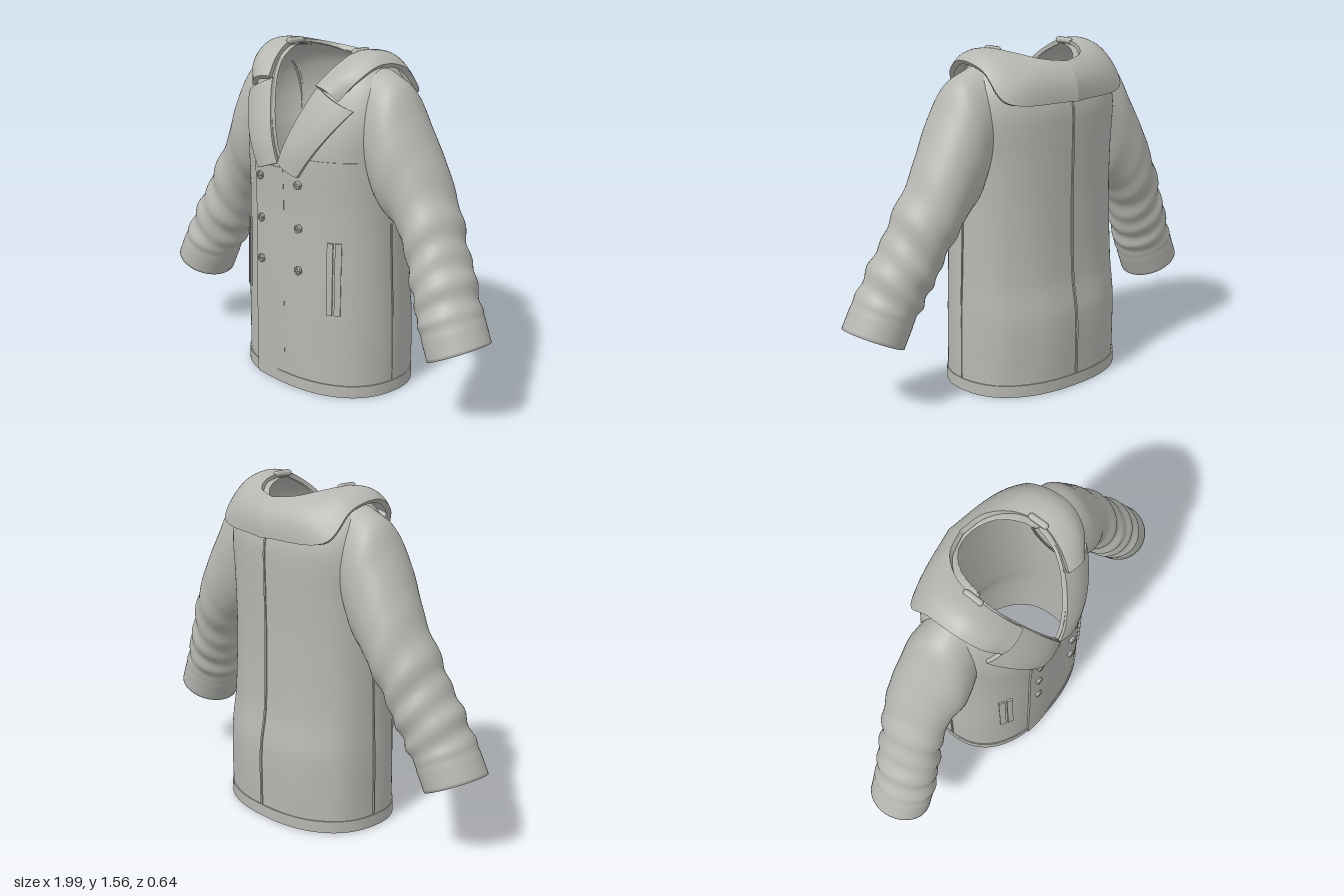
import * as THREE from 'three';
import { mergeVertices, toCreasedNormals } from 'three/addons/utils/BufferGeometryUtils.js';

const V = (x, y, z) => new THREE.Vector3(x, y, z);
const cloth = new THREE.MeshStandardMaterial({ color: 0xb6b6b2, side: THREE.DoubleSide });
cloth.name = 'greyCloth';

// Torso sections: height, half width, front z, back z
const SECTIONS = [
  [0, .425, .30, -.31], [.34, .422, .30, -.312], [.52, .415, .30, -.285], [.85, .405, .297, -.275],
  [1.1, .41, .30, -.278], [1.2, .42, .283, -.28], [1.3, .42, .25, -.277], [1.4, .395, .205, -.25],
  [1.47, .34, .155, -.217], [1.51, .27, .10, -.165], [1.54, .19, .05, -.09],
];
const POWER = 2.3;

// Smooth interpolation of the torso sections
function section(y) {
  const S = SECTIONS, last = S.length - 1;
  let i = 0;
  while (i < last - 1 && y > S[i + 1][0]) i++;
  const h = S[i + 1][0] - S[i][0], t = THREE.MathUtils.clamp((y - S[i][0]) / h, 0, 1);
  const slope = (k, c) => {
    const a = S[Math.max(k - 1, 0)], b = S[Math.min(k + 1, last)];
    return (b[c] - a[c]) / (b[0] - a[0]);
  };
  return [1, 2, 3].map(c => {
    const t2 = t * t, t3 = t2 * t;
    return (2 * t3 - 3 * t2 + 1) * S[i][c] + (t3 - 2 * t2 + t) * h * slope(i, c)
      + (3 * t2 - 2 * t3) * S[i + 1][c] + (t3 - t2) * h * slope(i + 1, c);
  });
}

function torsoPoint(angle, y, out = 0) {
  const [rx, zf, zb] = section(y), s = Math.sin(angle), c = Math.cos(angle), e = 2 / POWER;
  const x = (rx + out) * Math.sign(s) * Math.abs(s) ** e;
  return V(x, y, (c > 0 ? zf + out : zb - out) * Math.abs(c) ** e);
}

function frontPoint(x, y, out = 0) {
  const [rx, zf] = section(y);
  const k = Math.min(Math.abs(x / rx), .98);
  return V(x, y, zf * (1 - k ** POWER) ** (1 / POWER) + out);
}

// Height where each torso column meets the V neck or the back neckline
function neckHeight(angle) {
  for (let y = 1; y < 1.54; y += .002) {
    const p = torsoPoint(angle, y);
    const inside = p.z > .03 ? Math.abs(p.x) < .2 * (y - 1.06) / .44
      : (p.x / .2) ** 2 + ((p.z - .03) / .25) ** 2 < 1;
    if (inside) return y;
  }
  return 1.54;
}

// Grid surface; the front is on the side of dU x dV
function grid(nu, nv, f) {
  const pos = [], index = [], w = nu + 1;
  for (let j = 0; j <= nv; j++)
    for (let i = 0; i <= nu; i++) pos.push(...f(i / nu, j / nv, i, j).toArray());
  for (let j = 0; j < nv; j++)
    for (let i = 0; i < nu; i++) {
      const a = j * w + i;
      index.push(a, a + 1, a + w + 1, a, a + w + 1, a + w);
    }
  const g = new THREE.BufferGeometry();
  g.setAttribute('position', new THREE.Float32BufferAttribute(pos, 3));
  g.setIndex(index);
  return g;
}

function smooth(g) {
  g = mergeVertices(g, 1e-5);
  g.computeVertexNormals();
  return g;
}

// Laid-on cloth piece whose edges drop by depth
function pad(nu, nv, f, depth) {
  const cl = THREE.MathUtils.clamp;
  const g = grid(nu + 2, nv + 2, (a, b, i, j) => {
    const u = cl((i - 1) / nu, 0, 1), v = cl((j - 1) / nv, 0, 1), p = f(u, v);
    if (i > 0 && i < nu + 2 && j > 0 && j < nv + 2) return p;
    const e = .01, u0 = Math.max(u - e, 0), u1 = Math.min(u + e, 1), v0 = Math.max(v - e, 0), v1 = Math.min(v + e, 1);
    const n = f(u1, v).sub(f(u0, v)).cross(f(u, v1).sub(f(u, v0))).normalize();
    return p.addScaledVector(n, -depth);
  });
  return toCreasedNormals(g, .7);
}

const mirrored = (f, s) => (u, v) => {
  const p = f(s > 0 ? u : 1 - u, v);
  p.x *= s;
  return p;
};
const curve = pts => new THREE.CatmullRomCurve3(pts.map(p => V(...p)));

// Sleeve: outer edge (x, y, centre z) and inner edge (x, y, depth radius)
const armOuter = curve([[.34, 1.485, -.01], [.455, 1.43, -.01], [.535, 1.3, -.01], [.635, 1.11, -.025],
  [.745, .9, -.01], [.81, .77, .01], [.875, .65, .028], [.935, .53, .045], [.998, .4, .055]]);
const armInner = curve([[.36, .95, .15], [.395, .87, .168], [.44, .835, .172], [.5, .785, .16],
  [.565, .67, .152], [.61, .57, .15], [.65, .48, .15], [.69, .405, .147], [.748, .28, .145]]);

function sleevePoint(u, w) {
  const inside = w > .55, v = inside ? 1 - (w - .55) / .45 : w / .55;
  const a = u * Math.PI * 2, o = armOuter.getPoint(v), i = armInner.getPoint(v);
  const folds = THREE.MathUtils.smoothstep(v, .3, .5) * (1 - THREE.MathUtils.smoothstep(v, .85, .9));
  let k = 1 + folds * (.035 * Math.sin(v * 52 + 1.6 * Math.sin(a + .5)) + .02 * Math.sin(v * 31 - 2 * Math.cos(a)));
  k += v > .9 ? .015 : 0;
  if (inside) k -= .075;
  const c = Math.cos(a) * k, s = Math.sin(a) * k;
  return V((o.x + i.x) / 2 + (o.x - i.x) / 2 * c, (o.y + i.y) / 2 + (o.y - i.y) / 2 * c, o.z + i.z * s);
}

// Collar half: neckline and outer edge, from the front notch to the back centre
const collarIn = curve([[.15, 1.405, .215], [.185, 1.48, .14], [.205, 1.535, .04], [.185, 1.53, -.09],
  [.11, 1.505, -.19], [0, 1.49, -.225]]);
const collarOut = curve([[.275, 1.35, .205], [.335, 1.44, .15], [.368, 1.5, .05], [.365, 1.475, -.1],
  [.335, 1.35, -.222], [0, 1.325, -.297]]);

function collarPoint(u, v) {
  const p = collarIn.getPoint(v).lerp(collarOut.getPoint(v), u);
  const out = p.clone().sub(V(0, 1.2, 0)).normalize();
  return p.addScaledVector(out, .012 + .028 * Math.sin(Math.PI * u));
}

function lapelPoint(u, v) {
  const x = THREE.MathUtils.lerp(.15 * v, .13 + .215 * v, u);
  const y = THREE.MathUtils.lerp(1.055 + .35 * v, 1.01 + .31 * v, u);
  return frontPoint(x, y, .012 + .012 * u + .008 * Math.sin(Math.PI * u));
}

export function createModel() {
  const coat = new THREE.Group();
  coat.name = 'coat';
  const add = (name, geometry, parent = coat) => {
    const m = new THREE.Mesh(geometry, cloth);
    m.name = name;
    parent.add(m);
    return m;
  };

  // Torso shell: outer wall up to the neckline, then the lining back down
  const N = 144, ROWS = 56, heights = [];
  for (let i = 0; i <= N; i++) heights.push(neckHeight(i / N * Math.PI * 2));
  add('torso', toCreasedNormals(grid(N, ROWS * 2 + 1, (u, v, i, j) => {
    const lining = j > ROWS, t = (lining ? ROWS * 2 + 1 - j : j) / ROWS;
    const y = heights[i] * t, a = u * Math.PI * 2;
    const drape = .004 * Math.sin(a * 9 + y * 3) * Math.max(0, 1 - y) * (Math.cos(a) < .3 ? 1 : .3);
    return torsoPoint(a, y, lining ? -.016 : drape * Math.min(1, y * 6));
  }), .8));

  // Hem band and vertical seams
  add('hem', pad(96, 2, (u, v) => torsoPoint(u * Math.PI * 2, .003 + .055 * v, .005), .009));
  for (const [name, a, top] of [['backSeam', Math.PI, 1.34], ['leftSeam', Math.PI / 2, .8], ['rightSeam', -Math.PI / 2, .8]])
    add(name, pad(1, 30, (u, v) => torsoPoint(a + (u - .5) * .012, .06 + (top - .06) * v, .005), .008));

  // Overlapping front edge and chest seam
  add('frontOverlap', pad(10, 24, (u, v) => frontPoint(-.175 + .2 * u, .004 + 1.03 * v, .01 * (1 - u) + .001), .012));
  add('chestSeam', pad(20, 1, (u, v) => frontPoint(.1 + .28 * u, 1.088 + .006 * v, .004), .008));

  for (const s of [1, -1]) {
    const side = s > 0 ? 'left' : 'right';
    add(side + 'Sleeve', smooth(grid(48, 150, mirrored(sleevePoint, s))));
    add(side + 'Collar', pad(12, 48, mirrored(collarPoint, s), .025));
    add(side + 'Lapel', pad(12, 20, mirrored(lapelPoint, s), .025));

    // Shoulder tab beside the neck
    const tab = add(side + 'ShoulderTab', new THREE.CapsuleGeometry(.015, .07, 4, 10));
    tab.rotation.x = Math.PI / 2;
    tab.position.set(s * .215, 1.545, .01);

    // Welt pocket made of two strips
    for (const x of [.262, .294])
      add(side + 'PocketWelt', pad(3, 8, mirrored((u, v) => frontPoint(x + .024 * u, .395 + .335 * v, .01), s), .016));

    // Buttons with a raised rim
    for (const y of [.975, .775, .58]) {
      const button = new THREE.Group();
      button.name = side + 'Button';
      button.position.copy(frontPoint(s * .125, y, .012));
      add('disc', new THREE.CylinderGeometry(.018, .018, .014, 20), button).rotation.x = Math.PI / 2;
      add('rim', new THREE.TorusGeometry(.016, .004, 8, 20), button).position.z = .006;
      add('knot', new THREE.SphereGeometry(.006, 10, 6), button).position.z = .007;
      coat.add(button);
    }
  }
  return coat;
}
